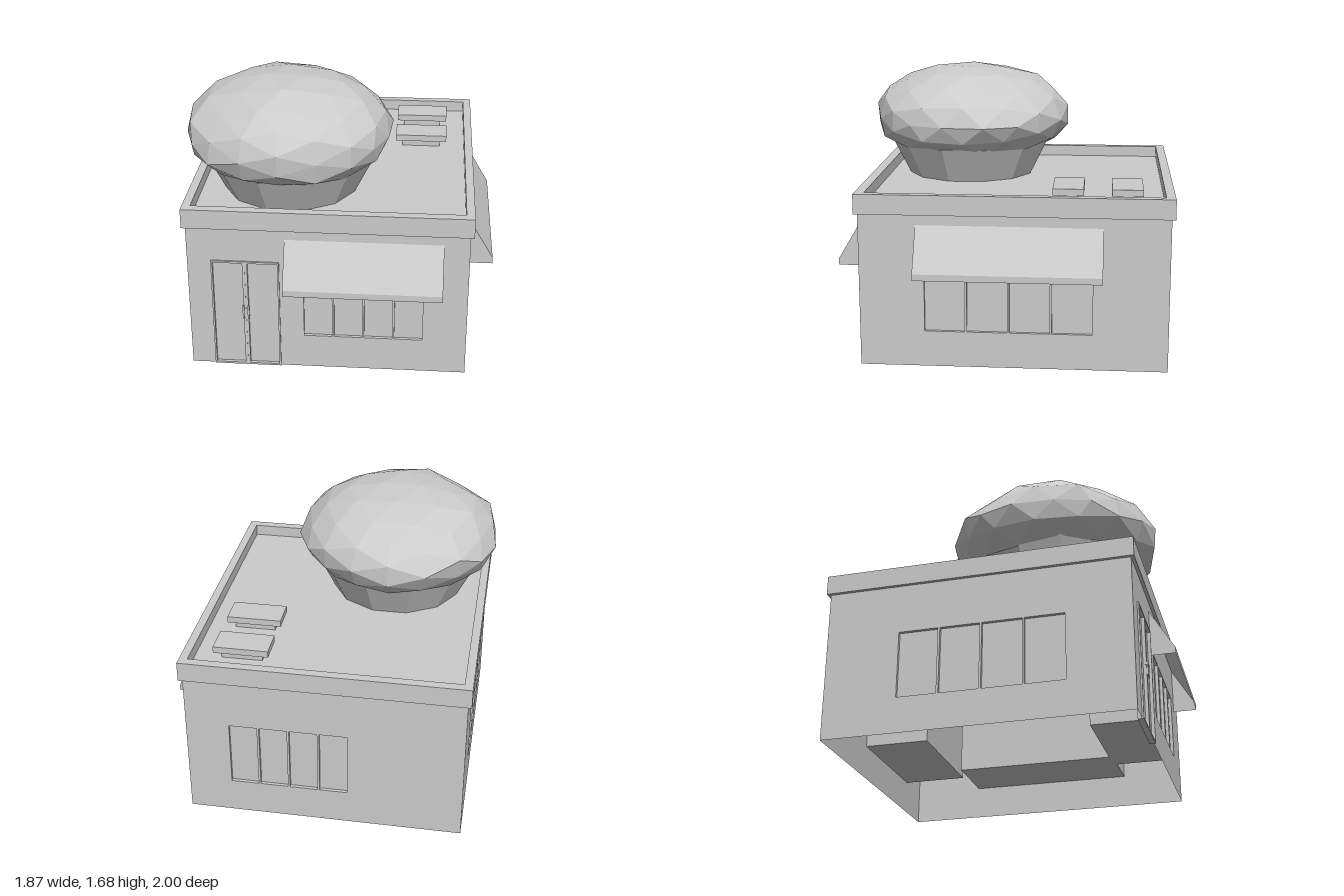
import * as THREE from 'three';

const flat = new THREE.MeshStandardMaterial({ color: 0xcccccc, flatShading: true });
const thin = new THREE.MeshStandardMaterial({ color: 0xcccccc, flatShading: true, side: THREE.DoubleSide });

function add(parent, name, geometry, material = flat) {
  const mesh = new THREE.Mesh(geometry, material);
  mesh.name = name;
  parent.add(mesh);
  return mesh;
}

function box(parent, name, x0, x1, y0, y1, z0, z1) {
  const mesh = add(parent, name, new THREE.BoxGeometry(x1 - x0, y1 - y0, z1 - z0));
  mesh.position.set((x0 + x1) / 2, (y0 + y1) / 2, (z0 + z1) / 2);
  return mesh;
}

const rectPoints = (x0, x1, y0, y1) =>
  [[x0, y0], [x1, y0], [x1, y1], [x0, y1]].map(([x, y]) => new THREE.Vector2(x, y));

function rectShape(outer, holes = []) {
  const shape = new THREE.Shape(rectPoints(...outer));
  for (const hole of holes) shape.holes.push(new THREE.Path(rectPoints(...hole).reverse()));
  return shape;
}

const extrude = (shape, depth) => new THREE.ExtrudeGeometry(shape, { depth, bevelEnabled: false });

// Four-pane window set in the wall, with a deep closed bay behind the glass
const SILL = 0.205, HEAD = 0.64;
function addWindow(parent, centre, width) {
  const group = new THREE.Group();
  group.name = 'window';
  group.position.x = centre;
  parent.add(group);
  const h = width / 2, bar = 0.013;
  const panes = [];
  for (let i = 0; i < 4; i++) {
    const a = -h + (width - bar) * i / 4;
    panes.push([a + bar, a + (width - bar) / 4, SILL + bar, HEAD - bar]);
  }
  add(group, 'windowFrame', extrude(rectShape([-h, h, SILL, HEAD], panes), 0.035)).position.z = -0.035;
  box(group, 'windowBay', -h, h, SILL, HEAD, -0.4, -0.02);
}

// Hollow awning: sloped sheet, front lip and two end panels
function addAwning(parent, centre, width) {
  const group = new THREE.Group();
  group.name = 'awning';
  group.position.x = centre;
  parent.add(group);
  const top = 0.867, lipTop = 0.612, low = 0.573, out = 0.15;
  const slope = add(group, 'awningSlope', new THREE.PlaneGeometry(width, Math.hypot(out, top - lipTop)), thin);
  slope.position.set(0, (top + lipTop) / 2, out / 2);
  slope.rotation.x = -Math.atan2(out, top - lipTop);
  add(group, 'awningLip', new THREE.PlaneGeometry(width, lipTop - low), thin).position.set(0, (lipTop + low) / 2, out);
  const end = new THREE.Shape([[0, low], [-out, low], [-out, lipTop], [0, top]].map(p => new THREE.Vector2(...p)));
  for (const side of [-1, 1]) {
    const panel = add(group, 'awningEnd', new THREE.ShapeGeometry(end), thin);
    panel.rotation.y = Math.PI / 2;
    panel.position.x = side * width / 2;
  }
}

// Double door with rims and a pair of pull handles
const DOOR = [-0.69, -0.285, 0, 0.715];
function addDoor(parent) {
  const group = new THREE.Group();
  group.name = 'door';
  parent.add(group);
  const leaves = [[-0.68, -0.503, 0.012, 0.703], [-0.473, -0.295, 0.012, 0.703]];
  add(group, 'doorFrame', extrude(rectShape(DOOR, leaves), 0.035)).position.z = -0.025;
  for (const [x0, x1, y0, y1] of leaves) box(group, 'doorLeaf', x0, x1, y0, y1, -0.025, -0.01);
  box(group, 'doorGap', -0.489, -0.487, 0.012, 0.703, 0, 0.012);
  for (const x of [-0.503, -0.473]) {
    box(group, 'doorHandle', x - 0.005, x + 0.005, 0.33, 0.42, 0.012, 0.02);
    for (const y of [0.345, 0.405]) box(group, 'handleMount', x - 0.004, x + 0.004, y - 0.005, y + 0.005, 0, 0.014);
  }
}

// Squashed, slightly lumpy faceted cake top
function cakeTopGeometry() {
  const geometry = new THREE.IcosahedronGeometry(1, 2);
  const pos = geometry.attributes.position;
  const v = new THREE.Vector3();
  for (let i = 0; i < pos.count; i++) {
    v.fromBufferAttribute(pos, i);
    const lump = 1 + 0.022 * Math.sin(5 * v.x + 2.1) * Math.cos(6 * v.z + 4 * v.y) + 0.018 * Math.sin(9 * v.y + 7 * v.x - 5 * v.z);
    const y = v.y > 0 ? 0.335 * v.y : Math.max(0.3 * v.y, -0.2 + 0.01 * Math.sin(7 * v.x + 5 * v.z));
    pos.setXYZ(i, v.x * 0.625 * lump, y * lump, v.z * 0.635 * lump);
  }
  geometry.computeVertexNormals();
  return geometry;
}

export function createModel() {
  const model = new THREE.Group();
  model.name = 'bakeryShop';

  // Walls, open underneath
  const walls = [
    { name: 'frontWall', turn: 0, half: 0.83, dist: 0.915, centre: 0.213, width: 0.735, awning: [0.215, 0.93], door: true },
    { name: 'backWall', turn: Math.PI, half: 0.83, dist: 0.915, centre: -0.213, width: 0.735 },
    { name: 'leftWall', turn: Math.PI / 2, half: 0.915, dist: 0.83, centre: -0.03, width: 1.02, awning: [-0.025, 1.1] },
    { name: 'rightWall', turn: -Math.PI / 2, half: 0.915, dist: 0.83, centre: 0.03, width: 1.02 },
  ];
  for (const w of walls) {
    const pivot = new THREE.Group();
    pivot.name = w.name;
    pivot.position.set(-0.05, 0, -0.065);
    pivot.rotation.y = w.turn;
    model.add(pivot);
    const face = new THREE.Group();
    face.name = w.name + 'Face';
    face.position.z = w.dist;
    pivot.add(face);
    const holes = [[w.centre - w.width / 2, w.centre + w.width / 2, SILL, HEAD]];
    if (w.door) holes.push([DOOR[0], DOOR[1], 0.001, DOOR[3]]);
    add(face, 'wallPanel', new THREE.ShapeGeometry(rectShape([-w.half, w.half, 0, 0.93], holes)), thin);
    addWindow(face, w.centre, w.width);
    if (w.awning) addAwning(face, ...w.awning);
    if (w.door) addDoor(face);
  }

  // Roof and parapet
  const parapet = add(model, 'parapet', extrude(rectShape([-0.9, 0.8, -0.87, 1], [[-0.85, 0.75, -0.812, 0.945]]), 0.12));
  parapet.rotation.x = -Math.PI / 2;
  parapet.position.y = 0.93;
  box(model, 'roof', -0.85, 0.75, 0.93, 0.98, -0.945, 0.812);

  // Roof vents
  for (const z of [-0.727, -0.377]) {
    box(model, 'ventBase', 0.345, 0.59, 0.98, 1.03, z - 0.06, z + 0.06);
    box(model, 'ventCap', 0.303, 0.633, 1.025, 1.065, z - 0.092, z + 0.092);
  }

  // Giant cake on the roof
  const cup = add(model, 'cakeCup', new THREE.CylinderGeometry(0.52, 0.41, 0.22, 12));
  cup.position.set(-0.315, 1.09, 0.295);
  cup.rotation.y = Math.PI / 12;
  add(model, 'cakeTop', cakeTopGeometry()).position.set(-0.325, 1.355, 0.29);

  return model;
}
